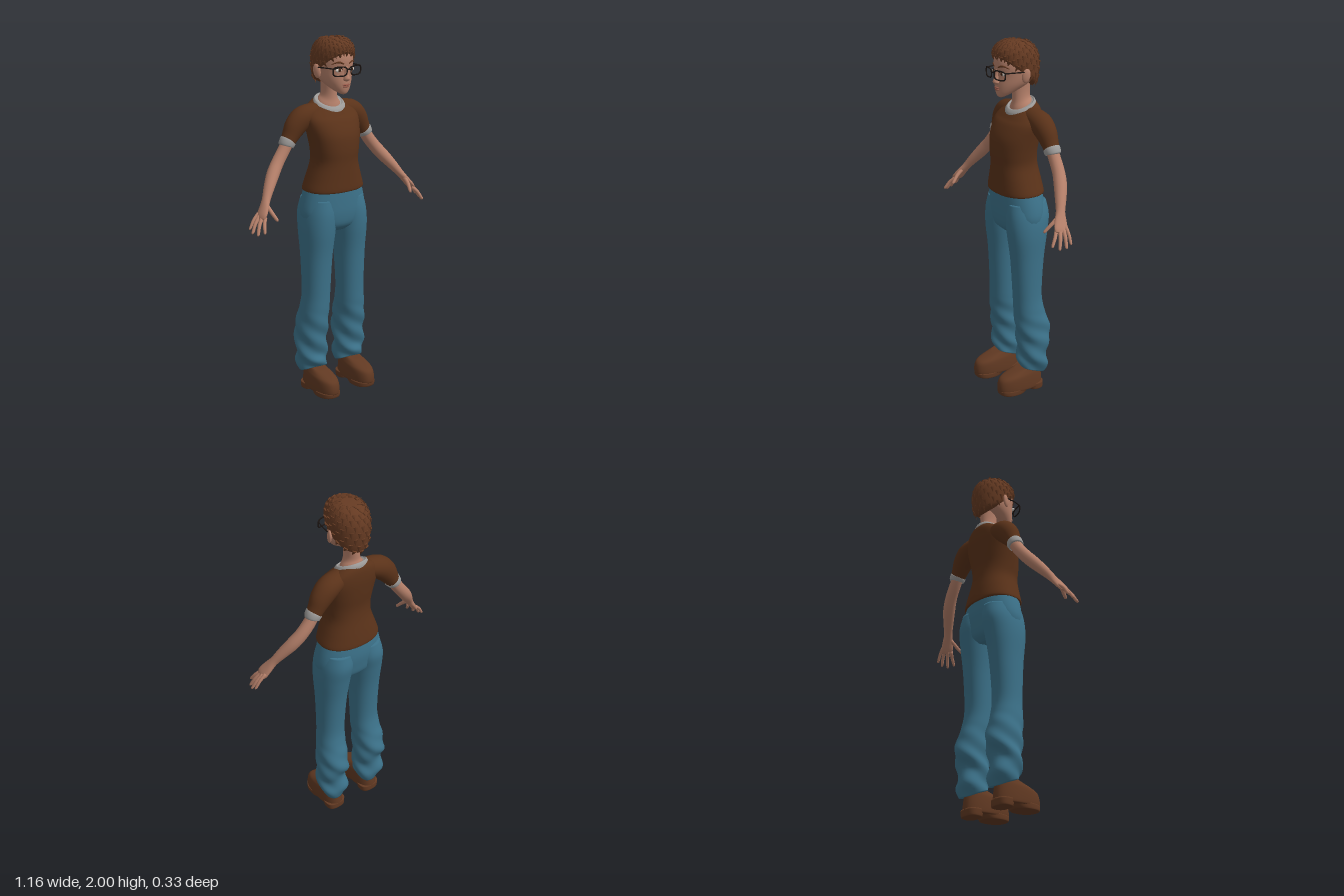
import * as THREE from 'three';
import { mergeGeometries } from 'three/addons/utils/BufferGeometryUtils.js';

const mat = (name, color) => Object.assign(new THREE.MeshStandardMaterial({ color }), { name });
const M = {
  skin: mat('skin', 0xb5806a), hair: mat('hair brown', 0x653a22), shirt: mat('shirt brown', 0x5a3219),
  trim: mat('trim grey', 0x9c9a98), denim: mat('trouser blue', 0x3c728a), shoe: mat('shoe brown', 0x613922),
  frame: mat('glasses black', 0x1c1512), white: mat('eye white', 0xe0d8d0), iris: mat('iris brown', 0x4a2a18),
  lip: mat('lip', 0x97594a),
};
const N = 32;
const V = (x, y, z) => new THREE.Vector3(x, y, z);

// Catmull-Rom interpolation of rows of numbers
function smooth(rows, n = 4) {
  const out = [], last = rows.length - 1;
  const at = (i) => rows[Math.max(0, Math.min(last, i))];
  for (let i = 0; i < last; i++) for (let k = 0; k < n; k++) {
    const t = k / n, [a, b, c, d] = [at(i - 1), at(i), at(i + 1), at(i + 2)];
    out.push(b.map((_, j) => 0.5 * (2 * b[j] + (c[j] - a[j]) * t + (2 * a[j] - 5 * b[j] + 4 * c[j] - d[j]) * t * t
      + (3 * b[j] - a[j] - 3 * c[j] + d[j]) * t * t * t)));
  }
  out.push(rows[last]);
  return out;
}

// Skin over closed rings of points, capped at both ends
function loft(rings) {
  const n = rings[0].length, pos = [], idx = [], R = rings.length;
  for (const r of rings) for (const p of r) pos.push(p.x, p.y, p.z);
  for (const r of [rings[0], rings[R - 1]]) {
    const c = r.reduce((s, p) => s.add(p), V(0, 0, 0)).divideScalar(n);
    pos.push(c.x, c.y, c.z);
  }
  for (let j = 0; j < n; j++) {
    const k = (j + 1) % n, top = (R - 1) * n;
    for (let i = 0; i < R - 1; i++) {
      const a = i * n + j, b = i * n + k;
      idx.push(a, b, a + n, b, b + n, a + n);
    }
    idx.push(R * n, k, j, R * n + 1, top + j, top + k);
  }
  const g = new THREE.BufferGeometry();
  g.setAttribute('position', new THREE.Float32BufferAttribute(pos, 3));
  g.setIndex(idx);
  g.computeVertexNormals();
  return g;
}

// Stacked rings, bottom to top; rows: [yFront, yBack, halfWidth, zFront, zBack, centreX]
function stack(rows, { p = 1, n = 4, fold = null } = {}) {
  const pw = (v) => Math.sign(v) * Math.abs(v) ** p;
  return loft(smooth(rows, n).map(([yF, yB, rx, zF, zB, cx = 0]) => Array.from({ length: N }, (_, k) => {
    const a = (k / N) * Math.PI * 2, c = pw(Math.cos(a)), s = pw(Math.sin(a));
    const f = fold ? fold((yF + yB) / 2, a) : 0;
    return V(cx + s * (rx + f), (yF + yB) / 2 + (yF - yB) / 2 * c, (zF + zB) / 2 + c * ((zF - zB) / 2 + f));
  })));
}

// Elliptical tube; rows: [x, y, z, radius across z, other radius]; side mirrors x
function limb(rows, side = 1, n = 4, seg = 16) {
  const s = smooth(rows.map(([x, ...r]) => [x * side, ...r]), n);
  return loft(s.map((r, i) => {
    const a = s[Math.max(0, i - 1)], b = s[Math.min(s.length - 1, i + 1)];
    const t = V(b[0] - a[0], b[1] - a[1], b[2] - a[2]).normalize();
    const u = V(0, 0, 1).addScaledVector(t, -t.z).normalize(), v = t.clone().cross(u);
    return Array.from({ length: seg }, (_, k) => {
      const q = (k / seg) * Math.PI * 2;
      return V(r[0], r[1], r[2]).addScaledVector(u, r[3] * Math.cos(q)).addScaledVector(v, r[4] * Math.sin(q));
    });
  }));
}

const ball = (x, y, z, a, b, c) => new THREE.SphereGeometry(1, 20, 14).scale(a, b, c).translate(x, y, z);

export function createModel() {
  const model = new THREE.Group();
  const add = (name, geo, material) => {
    const m = new THREE.Mesh(geo, material);
    m.name = name;
    model.add(m);
    return m;
  };

  // Shirt body and neckband
  add('shirtBody', stack([
    [1.172, 1.172, 0.172, 0.098, -0.155], [1.185, 1.185, 0.177, 0.102, -0.16], [1.25, 1.25, 0.155, 0.101, -0.15],
    [1.33, 1.33, 0.131, 0.1, -0.135], [1.4, 1.4, 0.136, 0.103, -0.13], [1.48, 1.48, 0.15, 0.095, -0.14],
    [1.55, 1.56, 0.163, 0.062, -0.148], [1.58, 1.615, 0.15, 0.036, -0.148],
    [1.602, 1.65, 0.115, 0.018, -0.142], [1.618, 1.672, 0.08, 0.004, -0.128],
  ], { p: 0.88 }), M.shirt);
  add('neckband', stack([
    [1.595, 1.652, 0.093, 0.022, -0.14], [1.61, 1.668, 0.091, 0.018, -0.138],
    [1.625, 1.682, 0.081, 0.006, -0.129], [1.622, 1.675, 0.072, 0, -0.122],
  ]), M.trim);

  // Trousers: hips, then a leg on each side
  add('trouserHips', stack([
    [0.945, 0.945, 0.1, 0.04, -0.1], [0.98, 0.98, 0.175, 0.075, -0.135], [1.04, 1.04, 0.2, 0.088, -0.148],
    [1.11, 1.11, 0.193, 0.09, -0.155], [1.2, 1.2, 0.168, 0.088, -0.148],
  ], { p: 0.92 }), M.denim);
  const fold = (y, a) => 0.006 * Math.max(0, Math.min(1, (0.5 - y) / 0.15)) * Math.sin(48 * y + 3 * a);

  for (const s of [1, -1]) {
    const side = s > 0 ? 'left' : 'right';
    add(side + 'TrouserLeg', stack([
      [0.155, 0.098, 0.074, 0.022, -0.122, 0.125], [0.19, 0.16, 0.084, 0.03, -0.148, 0.13],
      [0.24, 0.24, 0.089, 0.025, -0.128, 0.132], [0.33, 0.33, 0.086, 0.035, -0.16, 0.131],
      [0.42, 0.42, 0.083, 0.046, -0.148, 0.129], [0.5, 0.5, 0.08, 0.05, -0.122, 0.123],
      [0.6, 0.6, 0.077, 0.053, -0.108, 0.118], [0.8, 0.8, 0.083, 0.065, -0.122, 0.114],
      [0.95, 0.95, 0.094, 0.083, -0.145, 0.109], [1.05, 1.05, 0.096, 0.086, -0.162, 0.1],
      [1.13, 1.13, 0.085, 0.075, -0.15, 0.09],
    ].map((r) => [...r.slice(0, 5), r[5] * s]), { p: 0.92, n: 6, fold }), M.denim);

    // Shoe with forefoot sole and heel
    const foot = (rows, p) => stack(rows.map((r) => [...r, 0.125 * s]), { p });
    add(side + 'Shoe', foot([
      [0.025, 0.02, 0.058, 0.155, -0.105], [0.035, 0.025, 0.065, 0.166, -0.115], [0.07, 0.07, 0.065, 0.165, -0.113],
      [0.1, 0.115, 0.061, 0.152, -0.106], [0.118, 0.14, 0.053, 0.115, -0.1], [0.14, 0.165, 0.043, 0.045, -0.09],
    ], 0.85), M.shoe);
    add(side + 'Sole', foot([[0.006, 0.004, 0.055, 0.145, 0.005], [0.01, 0.005, 0.062, 0.16, -0.002],
      [0.035, 0.035, 0.064, 0.164, -0.03]], 0.85), M.shoe);
    add(side + 'Heel', foot([[0, 0, 0.052, -0.028, -0.108], [0.005, 0.005, 0.058, -0.022, -0.114],
      [0.04, 0.04, 0.061, -0.015, -0.115]], 0.75), M.shoe);

    // Sleeve and cuff
    add(side + 'Sleeve', limb([
      [0.05, 1.598, -0.07, 0.045, 0.045], [0.11, 1.588, -0.075, 0.058, 0.056], [0.165, 1.568, -0.08, 0.062, 0.063],
      [0.208, 1.528, -0.083, 0.056, 0.06], [0.24, 1.48, -0.084, 0.046, 0.047], [0.264, 1.442, -0.084, 0.04, 0.039],
    ], s, 5, 24), M.shirt);
    add(side + 'Cuff', limb([
      [0.253, 1.459, -0.084, 0.043, 0.042], [0.256, 1.455, -0.084, 0.046, 0.045],
      [0.268, 1.436, -0.084, 0.044, 0.042], [0.27, 1.432, -0.084, 0.04, 0.038],
    ], s, 2, 24), M.trim);

    // Arm running into the palm
    add(side + 'Arm', limb([
      [0.22, 1.51, -0.084, 0.032, 0.032], [0.28, 1.415, -0.084, 0.033, 0.034], [0.33, 1.35, -0.076, 0.034, 0.034],
      [0.375, 1.295, -0.056, 0.035, 0.034], [0.42, 1.238, -0.026, 0.03, 0.028], [0.456, 1.188, 0, 0.025, 0.021],
      [0.483, 1.15, 0.018, 0.034, 0.017], [0.508, 1.115, 0.033, 0.039, 0.014], [0.52, 1.098, 0.04, 0.03, 0.008],
    ], s), M.skin);

    // Fingers and thumb: base, tip, radius
    [[[0.51, 1.122, 0.004], [0.574, 1.047, 0.014], 0.0085], [[0.514, 1.112, 0.022], [0.577, 1.032, 0.045], 0.0095],
      [[0.512, 1.107, 0.042], [0.565, 1.027, 0.08], 0.0098], [[0.502, 1.107, 0.058], [0.541, 1.04, 0.11], 0.0092],
      [[0.47, 1.162, 0.028], [0.455, 1.092, 0.104], 0.0105]].forEach(([a, b, r], i) => {
      const at = (t, q, lift = 0) => [a[0] + (b[0] - a[0]) * t + lift, a[1] + (b[1] - a[1]) * t + lift,
        a[2] + (b[2] - a[2]) * t, q, q];
      add(side + (i < 4 ? 'Finger' + (i + 1) : 'Thumb'), limb([at(0, r * 1.1), at(0.45, r, 0.004), at(0.85, r * 0.85),
        at(0.96, r * 0.6), at(1, r * 0.15)], s, 3, 10), M.skin);
    });

    // Ear, eye and brow
    add(side + 'Ear', ball(0, 0, 0, 0.011, 0.038, 0.022).rotateX(-0.2).rotateY(s * -0.4)
      .translate(s * 0.108, 1.822, -0.022), M.skin);
    add(side + 'Eye', ball(s * 0.041, 1.832, 0.078, 0.02, 0.011, 0.009), M.white);
    add(side + 'Iris', ball(s * 0.04, 1.832, 0.084, 0.0095, 0.0095, 0.005), M.iris);
    add(side + 'Pupil', ball(s * 0.04, 1.832, 0.087, 0.0045, 0.0045, 0.003), M.frame);
    add(side + 'UpperLid', limb([[0.02, 1.836, 0.086, 0.002, 0.002], [0.041, 1.845, 0.085, 0.003, 0.003],
      [0.064, 1.836, 0.073, 0.002, 0.002]], s, 4, 6), M.frame);
    add(side + 'Brow', limb([[0.016, 1.864, 0.092, 0.003, 0.004], [0.045, 1.874, 0.083, 0.004, 0.005],
      [0.074, 1.862, 0.061, 0.002, 0.002]], s, 4, 8), M.hair);

    // Glasses rim and temple
    const rim = Array.from({ length: 20 }, (_, k) => {
      const a = (k / 20) * Math.PI * 2, q = (v) => Math.sign(v) * Math.abs(v) ** 0.6;
      const x = 0.052 + 0.039 * q(Math.cos(a));
      return V(s * x, 1.829 + 0.024 * q(Math.sin(a)), 0.114 - 2.2 * x * x);
    });
    add(side + 'GlassesRim', new THREE.TubeGeometry(new THREE.CatmullRomCurve3(rim, true), 48, 0.0038, 6, true), M.frame);
    add(side + 'GlassesTemple', limb([[0.09, 1.845, 0.096, 0.003, 0.003], [0.104, 1.845, 0.04, 0.003, 0.003],
      [0.108, 1.842, -0.02, 0.003, 0.003]].map((r) => [r[0], r[1], r[2], 0.0035, 0.0035]), s, 3, 6), M.frame);
  }
  add('glassesBridge', new THREE.CylinderGeometry(0.0038, 0.0038, 0.03, 6).rotateZ(Math.PI / 2)
    .translate(0, 1.838, 0.114), M.frame);

  // Neck and head
  add('neck', stack([
    [1.58, 1.63, 0.075, 0, -0.125], [1.625, 1.67, 0.062, -0.004, -0.12], [1.665, 1.69, 0.043, -0.012, -0.114],
    [1.72, 1.72, 0.038, -0.012, -0.114], [1.79, 1.79, 0.042, -0.01, -0.115],
  ]), M.skin);
  add('head', stack([
    [1.7, 1.712, 0.018, 0.072, 0.03], [1.708, 1.738, 0.042, 0.083, -0.03], [1.733, 1.765, 0.065, 0.09, -0.09],
    [1.77, 1.79, 0.084, 0.091, -0.13], [1.82, 1.82, 0.095, 0.088, -0.146], [1.88, 1.88, 0.098, 0.095, -0.15],
    [1.93, 1.93, 0.09, 0.082, -0.14], [1.97, 1.97, 0.06, 0.04, -0.1],
  ]), M.skin);
  add('nose', stack([
    [1.773, 1.773, 0.01, 0.1, 0.075], [1.78, 1.78, 0.018, 0.109, 0.07], [1.79, 1.79, 0.017, 0.112, 0.07],
    [1.815, 1.815, 0.01, 0.101, 0.07], [1.85, 1.85, 0.009, 0.094, 0.07],
  ]), M.skin);
  add('upperLip', ball(0, 1.753, 0.089, 0.025, 0.005, 0.008), M.lip);
  add('lowerLip', ball(0, 1.744, 0.088, 0.02, 0.006, 0.009), M.lip);

  // Hair cap with rows of short tufts
  const cap = stack([
    [1.915, 1.742, 0.09, 0.088, -0.115], [1.922, 1.757, 0.103, 0.097, -0.145], [1.945, 1.83, 0.107, 0.097, -0.158],
    [1.968, 1.9, 0.101, 0.082, -0.155], [1.988, 1.955, 0.079, 0.048, -0.13], [1.995, 1.985, 0.045, 0.005, -0.09],
  ]);
  add('hairCap', cap, M.hair);
  const P = cap.attributes.position, Q = cap.attributes.normal, tufts = [];
  for (let row = 4; row <= 20; row += 2) for (let k = (row / 2) % 2; k < N; k += row > 16 ? 4 : 2) {
    const i = row * N + k, low = i - 2 * N;
    const o = V().fromBufferAttribute(P, i), nrm = V().fromBufferAttribute(Q, i);
    const dir = V().fromBufferAttribute(P, low).sub(o);
    dir.addScaledVector(nrm, -dir.dot(nrm)).normalize();
    const basis = new THREE.Matrix4().makeBasis(dir.clone().cross(nrm), dir, nrm);
    o.addScaledVector(nrm, 0.001).addScaledVector(dir, 0.012);
    tufts.push(new THREE.ConeGeometry(0.013, 0.036, 6).scale(1, 1, 0.4).applyMatrix4(basis).translate(o.x, o.y, o.z));
  }
  add('hairTufts', mergeGeometries(tufts), M.hair);

  return model;
}
